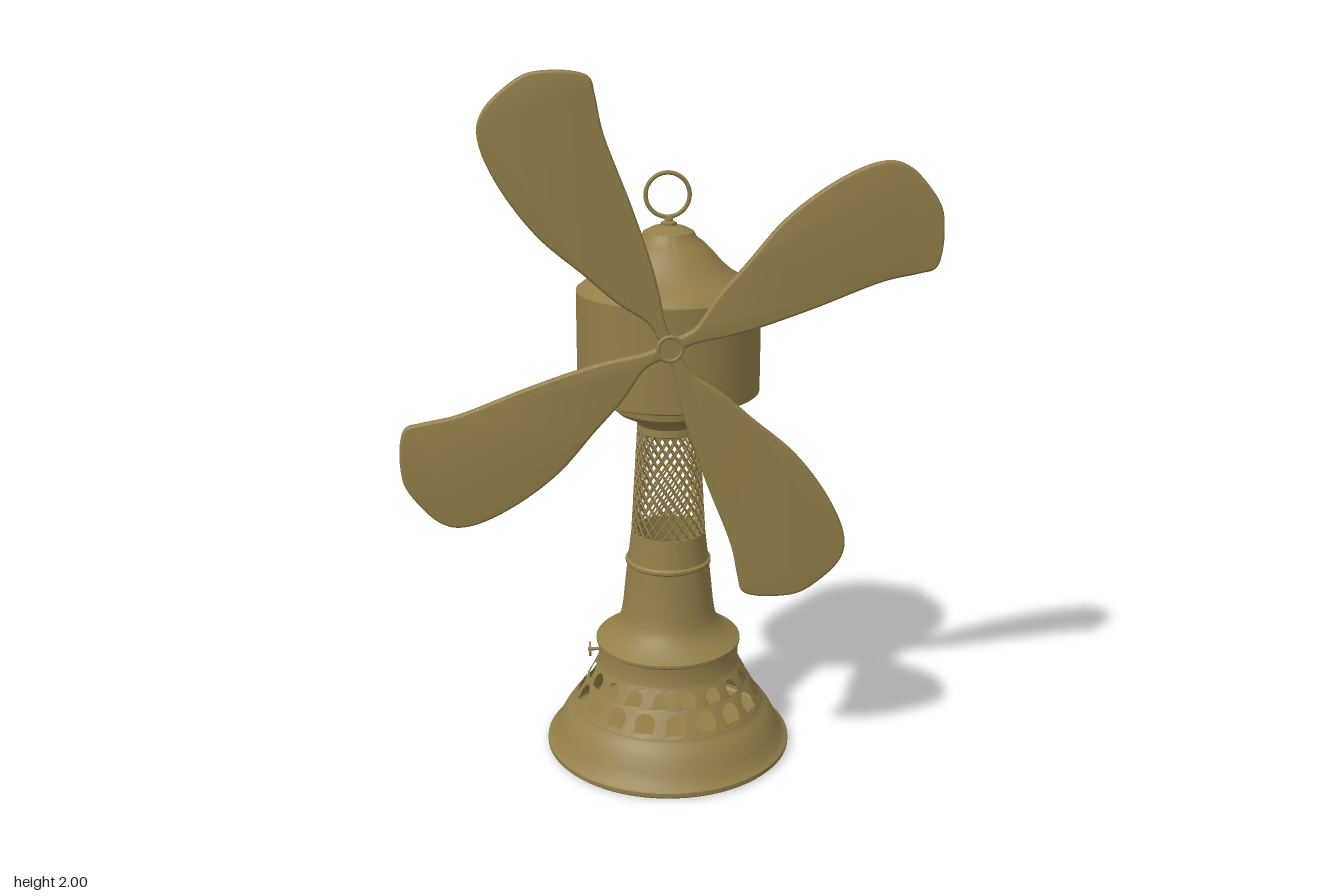
import * as THREE from 'three';
import { mergeGeometries, toCreasedNormals } from 'three/addons/utils/BufferGeometryUtils.js';

const brass = new THREE.MeshStandardMaterial({ color: 0x927e48, side: THREE.DoubleSide });
brass.name = 'aged brass';

function add(parent, name, geometry, x = 0, y = 0, z = 0) {
  const mesh = new THREE.Mesh(geometry, brass);
  mesh.name = name;
  mesh.position.set(x, y, z);
  parent.add(mesh);
  return mesh;
}

// Turned part from [radius, height] pairs, bottom to top
function turned(profile) {
  const points = profile.map(([r, y]) => new THREE.Vector2(r, y));
  return toCreasedNormals(new THREE.LatheGeometry(points, 72), 0.6);
}

// Arched hole in panel units: u across, v up the slope
function archHole(w, bottom, top) {
  const pts = [new THREE.Vector2(-w * 0.8, bottom), new THREE.Vector2(w * 0.8, bottom)];
  const shoulder = bottom + (top - bottom) * 0.45;
  for (let i = 0; i <= 8; i++) {
    const a = (i / 8) * Math.PI;
    pts.push(new THREE.Vector2(w * Math.cos(a), shoulder + (top - shoulder) * Math.sin(a)));
  }
  return new THREE.Path(pts);
}

// Conical band of n pierced panels
function piercedBand(n, [r0, y0], [r1, y1], offset, hole) {
  const pts = [];
  for (let i = 0; i <= 4; i++) pts.push(new THREE.Vector2(-0.5 + i / 4, 0));
  for (let i = 0; i <= 4; i++) pts.push(new THREE.Vector2(0.5 - i / 4, 1));
  const panels = [];
  for (let k = 0; k < n; k++) {
    const shape = new THREE.Shape(pts);
    shape.holes.push(archHole(...hole));
    const geo = new THREE.ShapeGeometry(shape);
    const p = geo.attributes.position;
    for (let i = 0; i < p.count; i++) {
      const a = ((k + offset + p.getX(i)) / n) * Math.PI * 2;
      const v = p.getY(i);
      const r = r0 + (r1 - r0) * v;
      p.setXYZ(i, r * Math.sin(a), y0 + (y1 - y0) * v, r * Math.cos(a));
    }
    panels.push(geo);
  }
  return toCreasedNormals(mergeGeometries(panels), 0.6);
}

// Diamond mesh sleeve made of two families of helical wires
function meshSleeve(r0, y0, r1, y1, count, rows) {
  const wires = [];
  for (const dir of [-1, 1]) {
    for (let k = 0; k < count; k++) {
      const pts = [];
      for (let i = 0; i <= 14; i++) {
        const t = i / 14;
        const a = ((k + dir * rows * t) / count) * Math.PI * 2;
        const r = r0 + (r1 - r0) * t;
        pts.push(new THREE.Vector3(r * Math.sin(a), y0 + (y1 - y0) * t, r * Math.cos(a)));
      }
      wires.push(new THREE.TubeGeometry(new THREE.CatmullRomCurve3(pts), 28, 0.0032, 4));
    }
  }
  return mergeGeometries(wires);
}

// One broad, lopsided blade pointing up and to the right
function bladeGeometry() {
  const outline = [
    [0.02, -0.01], [0.07, 0.012], [0.15, 0.028], [0.24, 0.052], [0.38, 0.1], [0.55, 0.165],
    [0.65, 0.187], [0.695, 0.2], [0.711, 0.24], [0.714, 0.3], [0.705, 0.36], [0.67, 0.415],
    [0.62, 0.465], [0.565, 0.483], [0.49, 0.465], [0.39, 0.41], [0.29, 0.33], [0.2, 0.225],
    [0.125, 0.14], [0.07, 0.06], [0.02, 0.03],
  ].map(([x, y]) => new THREE.Vector2(x, y));
  const shape = new THREE.Shape();
  shape.moveTo(outline[0].x, outline[0].y);
  shape.splineThru(outline.slice(1));
  const geo = new THREE.ExtrudeGeometry(shape, {
    depth: 0.006, curveSegments: 72, bevelEnabled: true,
    bevelThickness: 0.007, bevelSize: 0.008, bevelOffset: -0.008, bevelSegments: 3,
  });
  return toCreasedNormals(geo.translate(0, 0, -0.003), 0.9);
}

export function createModel() {
  const fan = new THREE.Group();
  fan.name = 'tableFan';

  const body = new THREE.Group();
  body.name = 'body';
  body.position.x = 0.017;
  fan.add(body);

  // Flared foot and its two rows of vents
  add(body, 'foot', turned([
    [0, 0], [0.355, 0], [0.361, 0.006], [0.361, 0.018], [0.352, 0.024], [0.342, 0.034],
    [0.328, 0.064], [0.312, 0.094], [0.295, 0.119], [0.281, 0.13], [0.277, 0.14],
  ]));
  add(body, 'lowerFootVents', piercedBand(18, [0.277, 0.14], [0.237, 0.208], 0, [0.34, 0.17, 0.9]));
  add(body, 'upperFootVents', piercedBand(18, [0.237, 0.208], [0.21, 0.262], 0.5, [0.3, 0.1, 0.85]));

  // Stepped pedestal and ringed stem
  add(body, 'pedestal', turned([
    [0.21, 0.262], [0.206, 0.27], [0.206, 0.325], [0.212, 0.33], [0.212, 0.338], [0.2, 0.345],
    [0.172, 0.362], [0.15, 0.384], [0.139, 0.41], [0.132, 0.45], [0.125, 0.52], [0.119, 0.574],
    [0.124, 0.579], [0.124, 0.587], [0.117, 0.592], [0.112, 0.63], [0.107, 0.675], [0.1, 0.675],
  ]));
  add(body, 'meshSleeve', meshSleeve(0.104, 0.673, 0.086, 0.985, 24, 8));

  // Collar beneath the motor
  add(body, 'collar', turned([
    [0.084, 0.975], [0.09, 0.98], [0.088, 1.0], [0.096, 1.012], [0.118, 1.024], [0.143, 1.036],
    [0.156, 1.048], [0.158, 1.066], [0.168, 1.072],
  ]));
  add(body, 'motorVents', piercedBand(20, [0.168, 1.072], [0.252, 1.097], 0, [0.32, 0.28, 0.9]));

  // Motor drum and bell-shaped cap
  add(body, 'motorDrum', turned([
    [0.252, 1.097], [0.256, 1.1], [0.256, 1.386], [0.248, 1.389],
  ]));
  add(body, 'motorCap', turned([
    [0.25, 1.387], [0.245, 1.395], [0.215, 1.411], [0.18, 1.432], [0.15, 1.458], [0.124, 1.488],
    [0.1, 1.513], [0.077, 1.53], [0.07, 1.545], [0.045, 1.558], [0.022, 1.563], [0, 1.564],
  ]));

  // Carrying ring
  add(body, 'ringMount', turned([
    [0.022, 1.562], [0.022, 1.57], [0.012, 1.574], [0.012, 1.582], [0, 1.588],
  ]));
  add(body, 'carryingRing', new THREE.TorusGeometry(0.06, 0.006, 10, 48), -0.003, 1.645, 0);

  // Speed knob on the pedestal
  const stem = new THREE.CylinderGeometry(0.005, 0.005, 0.04, 12).rotateZ(Math.PI / 2);
  add(body, 'knobStem', stem, -0.218, 0.3, 0);
  const knob = new THREE.CylinderGeometry(0.022, 0.022, 0.006, 20).rotateZ(Math.PI / 2);
  add(body, 'knob', knob, -0.232, 0.3, 0);

  // Four blades around the hub
  const rotor = new THREE.Group();
  rotor.name = 'rotor';
  rotor.position.set(-0.003, 1.285, 0.264);
  fan.add(rotor);
  const blade = bladeGeometry();
  for (let i = 0; i < 4; i++) add(rotor, 'blade', blade).rotation.z = (i * Math.PI) / 2;
  add(rotor, 'hub', new THREE.CylinderGeometry(0.034, 0.034, 0.022, 32).rotateX(Math.PI / 2));
  add(rotor, 'hubRim', new THREE.TorusGeometry(0.032, 0.006, 8, 32), 0, 0, 0.008);
  add(rotor, 'hubPin', new THREE.CylinderGeometry(0.01, 0.01, 0.03, 16).rotateX(Math.PI / 2));
  add(rotor, 'axle', new THREE.CylinderGeometry(0.014, 0.014, 0.06, 16).rotateX(Math.PI / 2), 0, 0, -0.03);

  return fan;
}
